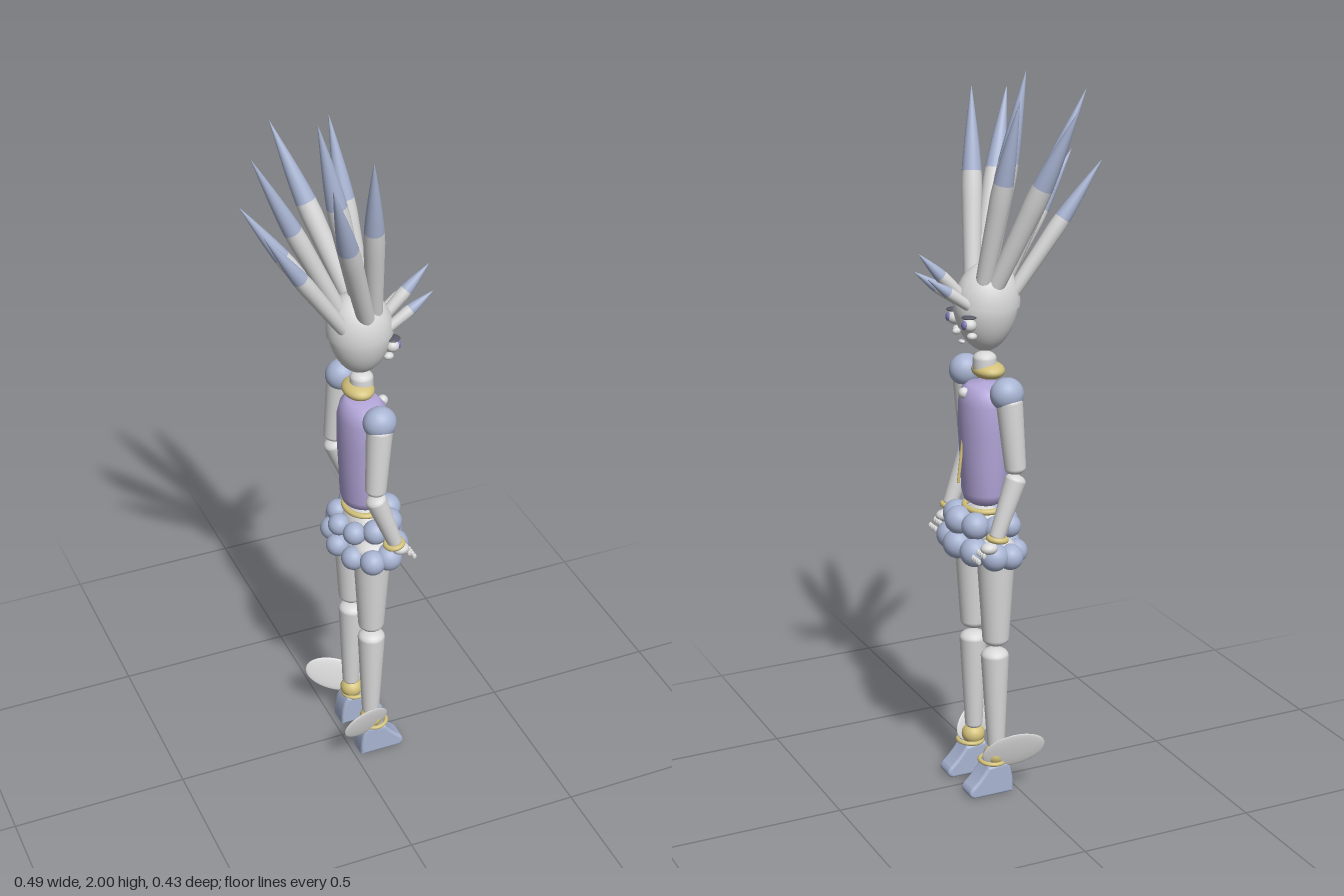
import * as THREE from 'three';

const mat = (name, color) => new THREE.MeshStandardMaterial({ name, color });
const V = (x, y, z) => new THREE.Vector3(x, y, z);

export function createModel() {
  const model = new THREE.Group();
  model.name = 'spikyDancer';
  const white = mat('porcelain', 0xd9d9d9);
  const blue = mat('paleBlue', 0xa8b4d2);
  const purple = mat('lavender', 0xb3a6d9);
  const gold = mat('gold', 0xd3c27c);
  const iris = mat('iris', 0x7e78b4);
  const dark = mat('brow', 0x5a5a68);

  const add = (name, geo, material, x = 0, y = 0, z = 0) => {
    const m = new THREE.Mesh(geo, material);
    m.name = name;
    m.position.set(x, y, z);
    model.add(m);
    return m;
  };
  const ball = (name, material, x, y, z, rx, ry = rx, rz = rx) => {
    const m = add(name, new THREE.SphereGeometry(1, 24, 16), material, x, y, z);
    m.scale.set(rx, ry, rz);
    return m;
  };
  // Revolved shape standing on point a and pointing at b
  const turned = (name, profile, material, a, b) => {
    const pts = profile.map(([r, h]) => new THREE.Vector2(r, h));
    const m = add(name, new THREE.LatheGeometry(pts, 24), material, a.x, a.y, a.z);
    m.quaternion.setFromUnitVectors(V(0, 1, 0), b.clone().sub(a).normalize());
    return m;
  };
  // Tapered limb with rounded ends
  const limb = (name, material, a, b, ra, rb) => {
    const L = a.distanceTo(b), p = [];
    for (let i = 0; i <= 5; i++) {
      const t = i / 5 * Math.PI / 2;
      p.push([ra * Math.sin(t), ra * 0.6 * (1 - Math.cos(t))]);
    }
    for (let i = 5; i >= 0; i--) {
      const t = i / 5 * Math.PI / 2;
      p.push([rb * Math.sin(t), L - rb * 0.6 * (1 - Math.cos(t))]);
    }
    return turned(name, p, material, a, b);
  };
  const ring = (name, x, y, z, r, tube, sz = 1) => {
    const m = add(name, new THREE.TorusGeometry(r, tube, 10, 28), gold, x, y, z);
    m.rotation.x = Math.PI / 2;
    m.scale.y = sz;
    return m;
  };
  // Hair spike: pale shaft, coloured pointed tip
  const spike = (a, b, r) => {
    const L = a.distanceTo(b);
    const radius = t => r * (t < 0.5 ? 0.8 + 0.4 * t : Math.pow(Math.cos((t - 0.5) * Math.PI), 0.85));
    const span = (t0, t1) => Array.from({ length: 9 }, (_, i) => {
      const t = t0 + (t1 - t0) * i / 8;
      return [t >= 1 ? 0 : radius(t) * (t > 0.5 ? 1 - 0.35 * (t - 0.5) * 2 : 1), t * L];
    });
    turned('hairShaft', span(0, 0.56), white, a, b);
    turned('hairTip', span(0.56, 1), blue, a, b);
  };

  // Head, egg shaped with a narrower chin, and hair cap
  const headGeo = new THREE.SphereGeometry(1, 32, 24);
  const hp = headGeo.attributes.position;
  for (let i = 0; i < hp.count; i++) {
    const y = hp.getY(i), k = y < 0 ? 1 + 0.14 * y : 1;
    hp.setX(i, hp.getX(i) * k);
    hp.setZ(i, hp.getZ(i) * k);
  }
  headGeo.computeVertexNormals();
  add('head', headGeo, white, 0.052, 1.38, 0).scale.set(0.088, 0.118, 0.078);
  const cap = add('hairCap', new THREE.SphereGeometry(1, 32, 12, 0, Math.PI * 2, 0, Math.PI / 2), white, 0.048, 1.39, 0);
  cap.scale.set(0.09, 0.115, 0.081);
  cap.rotation.z = 0.12;

  // Hair
  spike(V(0.05, 1.46, 0), V(-0.066, 2.0, 0), 0.029);
  spike(V(0.0, 1.44, 0), V(-0.243, 1.94, 0), 0.026);
  spike(V(0.1, 1.395, 0), V(0.245, 1.545, 0), 0.018);
  for (const s of [1, -1]) {
    spike(V(0.045, 1.45, s * 0.05), V(-0.113, 1.927, s * 0.2125), 0.029);
    spike(V(0.075, 1.45, s * 0.035), V(0.023, 1.947, s * 0.145), 0.028);
    spike(V(-0.01, 1.42, s * 0.035), V(-0.246, 1.767, s * 0.086), 0.023);
    spike(V(0.1, 1.385, s * 0.033), V(0.239, 1.487, s * 0.043), 0.016);
  }

  // Face
  ball('nose', white, 0.137, 1.325, 0, 0.012, 0.009, 0.008);
  ball('mouth', white, 0.122, 1.295, 0, 0.008, 0.005, 0.012);
  for (const s of [1, -1]) {
    ball('eye', white, 0.122, 1.35, s * 0.047, 0.02, 0.018, 0.02);
    ball('iris', iris, 0.137, 1.352, s * 0.05, 0.008, 0.012, 0.012);
    ball('eyelid', dark, 0.123, 1.372, s * 0.049, 0.02, 0.005, 0.02);
    ball('cheek', white, 0.113, 1.318, s * 0.045, 0.014, 0.01, 0.012);
  }

  // Neck and collar
  limb('neck', white, V(0.055, 1.19, 0), V(0.055, 1.26, 0), 0.032, 0.032);
  ball('collar', gold, 0.045, 1.208, 0, 0.043, 0.024, 0.055);

  // Torso, flattened front to back
  turned('torso', [[0, 0.835], [0.045, 0.837], [0.064, 0.848], [0.071, 0.87], [0.075, 0.95], [0.081, 1.05],
    [0.08, 1.12], [0.071, 1.155], [0.05, 1.171], [0, 1.176]], purple, V(0, 0, 0), V(0, 1, 0)).scale.x = 0.84;
  model.children.at(-1).position.x = 0.058;
  ball('button', white, 0.117, 1.152, 0, 0.015);
  limb('chestTrim', gold, V(0.135, 0.9, 0), V(0.121, 1.02, 0), 0.004, 0.004);

  // Hips, belt and ruffled skirt
  ring('belt', 0.06, 0.825, 0, 0.05, 0.008, 1.2);
  ball('hips', white, 0.06, 0.76, 0, 0.055, 0.07, 0.09);
  const ruffle = (name, n, y, rx, rz, r) => {
    for (let i = 0; i < n; i++) {
      const a = i / n * Math.PI * 2, c = Math.cos(a);
      ball(name, blue, 0.062 + rx * c, y + 0.01 * c, rz * Math.sin(a), r + 0.004 * c);
    }
  };
  ruffle('upperRuffle', 8, 0.785, 0.072, 0.085, 0.035);
  ruffle('lowerRuffle', 10, 0.717, 0.076, 0.13, 0.037);

  // Winged shoe outline, toe towards +x
  const shoe = new THREE.Shape();
  shoe.moveTo(0.026, 0.008);
  shoe.lineTo(0.135, 0.008);
  shoe.quadraticCurveTo(0.15, 0.012, 0.138, 0.026);
  shoe.quadraticCurveTo(0.11, 0.05, 0.09, 0.08);
  shoe.lineTo(0.04, 0.085);
  shoe.quadraticCurveTo(0.025, 0.06, 0.026, 0.008);
  const shoeGeo = new THREE.ExtrudeGeometry(shoe, {
    depth: 0.046, bevelEnabled: true, bevelSize: 0.008, bevelThickness: 0.009, bevelSegments: 4, curveSegments: 8,
  });
  shoeGeo.translate(0, 0, -0.023);

  for (const s of [1, -1]) {
    // Arm
    ball('shoulder', blue, 0.052, 1.175, s * 0.13, 0.046, 0.045, 0.042);
    limb('upperArm', white, V(0.034, 0.957, s * 0.147), V(0.05, 1.175, s * 0.136), 0.029, 0.036);
    limb('forearm', white, V(0.095, 0.78, s * 0.15), V(0.03, 0.955, s * 0.148), 0.021, 0.029);
    const cuff = ring('bracelet', 0.09, 0.783, s * 0.15, 0.023, 0.008);
    cuff.rotation.y = 0.15;
    ball('hand', white, 0.112, 0.757, s * 0.146, 0.024, 0.016, 0.02);
    for (let i = 0; i < 4; i++) {
      const z = s * (0.123 + i * 0.012);
      ball('knuckle', white, 0.133, 0.742, z, 0.006, 0.009, 0.004);
      ball('fingertip', white, 0.148, 0.728, z, 0.006, 0.009, 0.004);
    }

    // Leg
    limb('thigh', white, V(0.058, 0.44, s * 0.072), V(0.058, 0.76, s * 0.073), 0.037, 0.054);
    limb('shin', white, V(0.058, 0.13, s * 0.073), V(0.06, 0.432, s * 0.07), 0.025, 0.039);
    ball('ankle', gold, 0.06, 0.112, s * 0.073, 0.033, 0.03, 0.033);
    ring('anklet', 0.07, 0.095, s * 0.073, 0.035, 0.006).rotation.y = 0.08;
    add('shoe', shoeGeo, blue, 0, 0, s * 0.073);

    // Ankle wing, a thin tilted oval sweeping back and outward
    const wing = ball('ankleWing', white, 0.025, 0.135, s * 0.118, 0.09, 0.05, 0.006);
    wing.rotation.set(s * 0.25, s * 0.33, -0.4);
  }
  return model;
}
